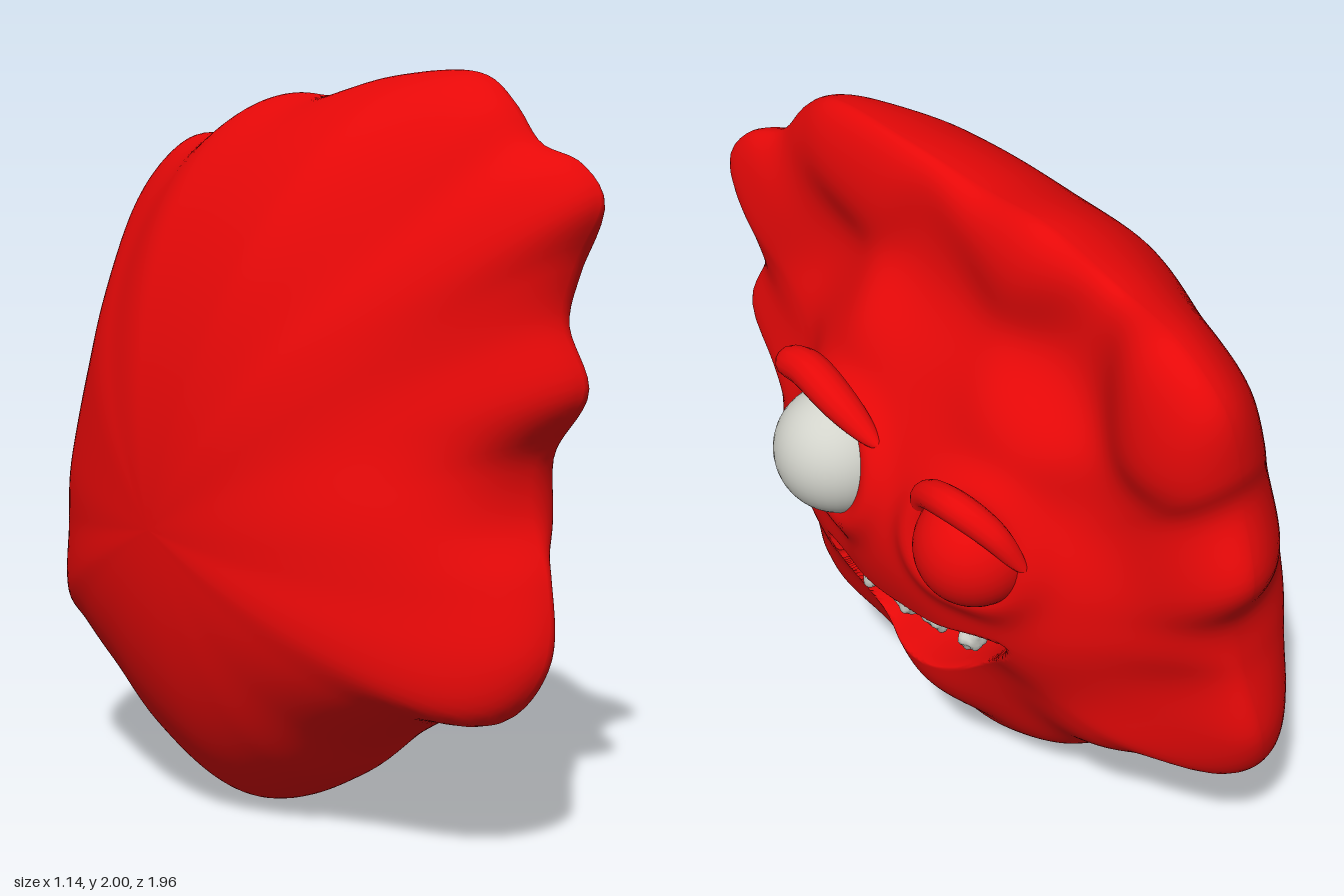
import * as THREE from 'three';

const { smoothstep, lerp } = THREE.MathUtils;

const red = new THREE.MeshStandardMaterial({ color: 0xe60808 });
red.name = 'red skin';
const ivory = new THREE.MeshStandardMaterial({ color: 0xd2d3cb });
ivory.name = 'ivory';

// Lobed rim of the head: [z, y, x], from the chin round by +z
const RIM = [
  [0.04, 0.0, -0.12], [0.3, 0.1, -0.12], [0.5, 0.25, -0.12], [0.72, 0.36, -0.14], [0.9, 0.385, -0.13],
  [0.98, 0.53, -0.06], [0.93, 0.73, 0], [0.83, 0.88, 0.04], [0.82, 1.02, 0.06], [0.93, 1.2, 0.12],
  [0.865, 1.38, 0.1], [0.88, 1.52, 0.13], [0.93, 1.68, 0.17], [0.86, 1.77, 0.16], [0.73, 1.82, 0.14], [0.64, 1.92, 0.13],
  [0.52, 1.99, 0.15], [0.2, 1.99, 0.17], [-0.05, 1.935, 0.14], [-0.3, 1.935, 0.16], [-0.5, 1.83, 0.12],
  [-0.75, 1.81, 0.18], [-0.9, 1.69, 0.18], [-0.93, 1.5, 0.14], [-0.91, 1.38, 0.1], [-0.98, 1.17, 0.12],
  [-0.89, 0.97, 0.06], [-0.9, 0.82, 0.04], [-0.95, 0.57, 0], [-0.87, 0.39, -0.07], [-0.68, 0.355, -0.1],
  [-0.48, 0.26, -0.12], [-0.25, 0.1, -0.12],
];

// Front relief: [z, y, x], blended smoothly
const RELIEF = [
  [0.04, 0.13, 0.1], [0.04, 0.38, 0.33], [0.33, 0.28, 0.14], [-0.28, 0.28, 0.14], [0.4, 0.47, 0.26], [-0.36, 0.47, 0.26],
  [0.03, 0.58, 0.34], [0.03, 0.78, 0.45], [0.4, 0.75, 0.38], [-0.4, 0.75, 0.38], [0, 1, 0.48], [0, 1.2, 0.42],
  [0, 1.42, 0.31], [0, 1.65, 0.19], [-0.2, 1.85, 0.28], [0.4, 1.87, 0.26], [0.27, 1.1, 0.42], [-0.26, 1.06, 0.42],
  [0.46, 1, 0.4], [-0.45, 0.97, 0.39], [0.3, 1.37, 0.37], [-0.29, 1.33, 0.36], [0.6, 1.22, 0.22], [-0.58, 1.22, 0.23],
  [0.5, 1.55, 0.15], [-0.45, 1.6, 0.16], [0.75, 1.62, 0.25], [-0.73, 1.6, 0.33], [0.8, 1.2, 0.21], [-0.8, 1.15, 0.26],
  [0.62, 0.97, 0.25], [-0.62, 0.95, 0.25], [0.82, 0.55, 0.06], [-0.8, 0.6, 0.13], [0.6, 0.62, 0.21], [-0.6, 0.62, 0.22],
];

const EYES = [
  { name: 'leftEye', z: 0.27, y: 1.11, x: 0.39, r: 0.18, mat: ivory },
  { name: 'rightEye', z: -0.26, y: 1.06, x: 0.39, r: 0.163, mat: red },
];

// Mouth mask: 1 inside the crooked grin, 0 outside
function mouthMask(z, y) {
  const side = smoothstep(z, -0.38, -0.3) * smoothstep(-z, -0.42, -0.34);
  const upper = 0.72 + 0.25 * (z - 0.02) ** 2;
  const u = z > 0.1 ? ((z - 0.1) / 0.28) ** 4 : ((0.1 - z) / 0.45) ** 2;
  const lower = 0.45 + 0.28 * u;
  return side * smoothstep(upper - y, 0, 0.05) * smoothstep(y - lower, 0, 0.04);
}

function frontHeight(z, y) {
  let sum = 0, weight = 1e-9;
  for (const [cz, cy, cx] of RELIEF) {
    const w = Math.exp(-((z - cz) ** 2 + (y - cy) ** 2) / 0.032);
    sum += w * cx;
    weight += w;
  }
  let h = sum / weight;
  // Puffy sockets
  for (const e of EYES) {
    const d = Math.hypot(z - e.z, y - e.y) - e.r - 0.01;
    h += 0.035 * Math.exp(-d * d / 0.003);
  }
  return h - 0.15 * mouthMask(z, y);
}

// Head: rings from the back pole, over the rim, to the middle of the face
function headGeometry() {
  const N = 240, BACK = 48, FRONT = 130, CZ = 0.02, CY = 0.8, SPAN = 14;
  const curve = new THREE.CatmullRomCurve3(RIM.map(([z, y, x]) => new THREE.Vector3(x, y, z)), true);
  const rim = curve.getSpacedPoints(N).slice(0, N);
  // Smoothed outline, narrower at the upper corners, so that the lobes stand out from an egg-shaped back
  const soft = rim.map((_, j) => {
    const p = new THREE.Vector3();
    for (let k = -SPAN; k <= SPAN; k++) p.add(rim[(j + k + N) % N]);
    p.divideScalar(2 * SPAN + 1);
    const s = 1 - (p.z > 0 ? 0.18 : 0.12) * smoothstep(p.y, 0.8, 1.5) * smoothstep(Math.abs(p.z), 0.3, 0.75);
    p.z = CZ + (p.z - CZ) * s;
    p.y = CY + (p.y - CY) * s;
    return p;
  });
  const pos = [], index = [];
  for (let i = 0; i <= BACK + FRONT; i++) {
    const back = i <= BACK;
    const rho = Math.sin((back ? i / BACK : 1 - (i - BACK) / FRONT) * Math.PI / 2);
    for (let j = 0; j < N; j++) {
      const up = smoothstep(rim[j].y, 0.1, 0.7);
      const p = back ? soft[j].clone().lerp(rim[j], rho ** lerp(2, 9, up)) : rim[j];
      const z = CZ + (p.z - CZ) * rho, y = CY + (p.y - CY) * rho;
      let x;
      if (back) {
        const n = lerp(2.3, 1.9, up);
        x = p.x - (p.x + 0.575) * Math.max(0, 1 - rho ** n) ** (1 / n);
      } else {
        x = p.x + (frontHeight(z, y) - p.x) * Math.sqrt(Math.max(0, 1 - rho ** 8));
      }
      pos.push(x, y, z);
    }
  }
  for (let i = 0; i < BACK + FRONT; i++) {
    for (let j = 0; j < N; j++) {
      const a = i * N + j, b = i * N + (j + 1) % N, c = a + N, d = b + N;
      index.push(a, c, b, c, d, b);
    }
  }
  const g = new THREE.BufferGeometry();
  g.setAttribute('position', new THREE.Float32BufferAttribute(pos, 3));
  g.setIndex(index);
  g.computeVertexNormals();
  return g;
}

// Tube through [z, y, x] points that tapers to closed ends
function taperedTube(points, radius) {
  const curve = new THREE.CatmullRomCurve3(points.map(([z, y, x]) => new THREE.Vector3(x, y, z)));
  const SEG = 40, SIDES = 14;
  const g = new THREE.TubeGeometry(curve, SEG, radius, SIDES);
  const p = g.attributes.position, v = new THREE.Vector3();
  for (let i = 0; i <= SEG; i++) {
    const c = curve.getPointAt(i / SEG), s = Math.sqrt(Math.max(0, Math.sin(Math.PI * i / SEG)));
    for (let j = 0; j <= SIDES; j++) {
      const k = i * (SIDES + 1) + j;
      v.fromBufferAttribute(p, k).sub(c).multiplyScalar(s).add(c);
      p.setXYZ(k, v.x, v.y, v.z);
    }
  }
  return g;
}

// Knobbly tooth
function toothGeometry(seed) {
  const g = new THREE.SphereGeometry(1, 20, 14);
  const p = g.attributes.position;
  for (let i = 0; i < p.count; i++) {
    const x = p.getX(i), y = p.getY(i), z = p.getZ(i);
    const k = 1 + 0.13 * Math.sin(5 * x + seed) * Math.sin(5 * y + 2 * seed) + 0.1 * Math.sin(6 * z + seed);
    p.setXYZ(i, x * k, y * k, z * k);
  }
  g.computeVertexNormals();
  return g;
}

export function createModel() {
  const model = new THREE.Group();
  const add = (name, geometry, material) => {
    const m = new THREE.Mesh(geometry, material);
    m.name = name;
    model.add(m);
    return m;
  };

  add('head', headGeometry(), red);

  for (const e of EYES) add(e.name, new THREE.SphereGeometry(e.r, 40, 28), e.mat).position.set(e.x, e.y, e.z);

  // Brows hooding the eyes
  add('leftBrow', taperedTube([[0.46, 1.25, 0.37], [0.42, 1.33, 0.42], [0.33, 1.355, 0.435], [0.2, 1.31, 0.44], [0.07, 1.22, 0.42]], 0.055), red);
  add('rightBrow', taperedTube([[-0.08, 1.08, 0.42], [-0.14, 1.19, 0.45], [-0.27, 1.235, 0.475], [-0.38, 1.18, 0.44], [-0.44, 1.06, 0.38]], 0.045), red);

  // Teeth and the bridge joining them
  [[0.26, 0.64, 0.046, 0.056], [0.12, 0.62, 0.048, 0.055], [0, 0.63, 0.042, 0.055], [-0.14, 0.638, 0.038, 0.052]].forEach(([z, y, w, h], i) => {
    const tooth = add('tooth', toothGeometry(i * 1.7 + 1), ivory);
    tooth.position.set(0.285, y, z);
    tooth.scale.set(0.04, h, w);
  });
  add('toothBridge', taperedTube([[0.28, 0.655, 0.28], [0.12, 0.645, 0.28], [-0.02, 0.65, 0.28]], 0.02), ivory);

  return model;
}
